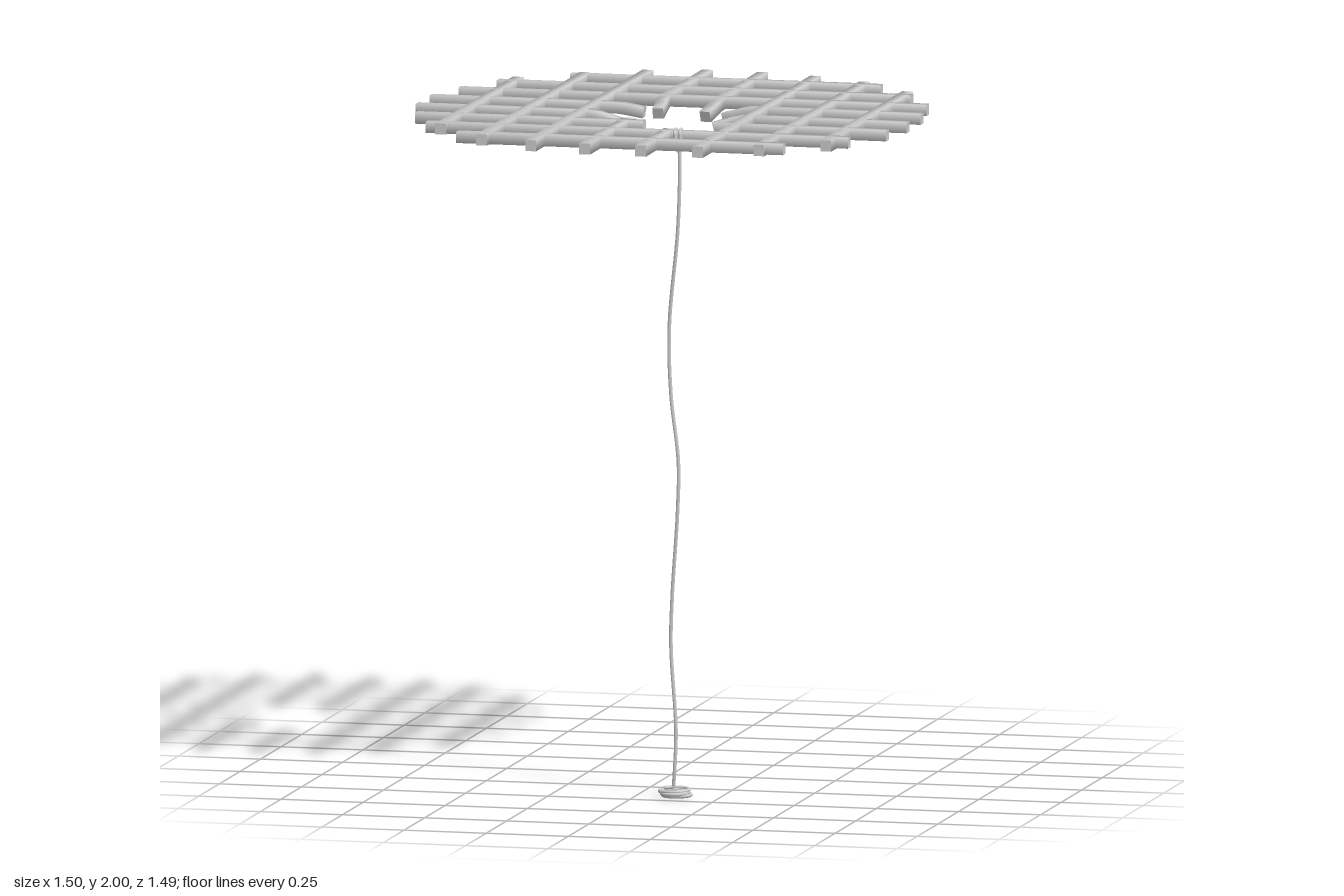
import * as THREE from 'three';
import { mergeGeometries } from 'three/addons/utils/BufferGeometryUtils.js';

const BAR = 0.0165;   // half width of the square bars
const BAR_Y = 1.976;  // height of the grating's centre plane
const ROPE = 0.0055;
const grey = new THREE.MeshStandardMaterial({ color: 0xcccccc });
const V = (x, y, z) => new THREE.Vector3(x, y, z);

// Square bar lofted along a list of points, smooth sides and flat caps
function barGeometry(points) {
  const up = V(0, 1, 0), rings = [];
  points.forEach((p, i) => {
    const t = points[Math.min(i + 1, points.length - 1)].clone()
      .sub(points[Math.max(i - 1, 0)]).normalize();
    const side = t.clone().cross(up).normalize();
    const top = side.clone().cross(t);
    rings.push([[1, 1], [-1, 1], [-1, -1], [1, -1]].map(([a, b]) =>
      p.clone().addScaledVector(side, a * BAR).addScaledVector(top, b * BAR)));
  });
  const build = (verts, index) => {
    const g = new THREE.BufferGeometry().setFromPoints(verts);
    g.setIndex(index);
    g.computeVertexNormals();
    return g;
  };
  const index = [];
  for (let i = 0; i < rings.length - 1; i++) {
    for (let j = 0; j < 4; j++) {
      const a = i * 4 + j, b = i * 4 + (j + 1) % 4;
      index.push(a, a + 4, b, b, a + 4, b + 4);
    }
  }
  return mergeGeometries([
    build(rings.flat(), index),
    build(rings[0], [0, 1, 2, 0, 2, 3]),
    build(rings[rings.length - 1], [0, 2, 1, 0, 3, 2]),
  ]);
}

// Bar from its outer end to its inner end; the inner tip may bend aside and down
function makeBar(name, alongX, offset, from, to, aside = 0, drop = 0) {
  const point = (s, side, y) => alongX ? V(s, y, offset + side) : V(offset + side, y, s);
  const points = [point(from, 0, BAR_Y)];
  if (aside || drop) {
    const dir = Math.sign(to - from);
    [[0.085, 0], [0.06, 0.2], [0.035, 0.55], [0, 1]].forEach(([back, k]) =>
      points.push(point(to - dir * back, aside * k, BAR_Y - drop * k)));
  } else points.push(point(to, 0, BAR_Y));
  const mesh = new THREE.Mesh(barGeometry(points), grey);
  mesh.name = name;
  return mesh;
}

function makeRope(name, points, segments) {
  const curve = new THREE.CatmullRomCurve3(points);
  const mesh = new THREE.Mesh(new THREE.TubeGeometry(curve, segments, ROPE, 8), grey);
  mesh.name = name;
  return mesh;
}

export function createModel() {
  const model = new THREE.Group();
  model.name = 'brokenGrating';
  const grating = new THREE.Group();
  grating.name = 'grating';
  model.add(grating);

  // Bars running left to right: z, outer end, inner end, bend aside, drop
  const crossBars = [
    [-0.587, -0.45, 0.495], [-0.413, -0.63, 0.63], [-0.246, -0.705, 0.72],
    [-0.077, -0.75, -0.1, 0, 0.012], [-0.077, 0.745, 0.14, -0.015, 0.022],
    [0.093, -0.75, -0.13, -0.016, 0.026], [0.093, 0.745, 0.157, 0.018, 0.022],
    [0.262, -0.71, -0.015], [0.262, 0.725, 0.2],
    [0.43, -0.635, 0.65], [0.6, -0.5, 0.495],
  ];
  crossBars.forEach(b => grating.add(makeBar('crossBar', true, ...b)));

  // Bars running back to front: x, outer end, inner end, bend aside, drop
  const longBars = [
    [-0.585, -0.48, 0.465], [-0.415, -0.615, 0.645], [-0.247, -0.705, 0.72],
    [-0.077, -0.75, -0.15, 0, 0.026], [-0.077, 0.743, 0.135, 0.014, 0.026],
    [0.093, -0.745, -0.108, -0.016, 0.024], [0.093, 0.743, 0.31, -0.015, 0.026],
    [0.262, -0.71, 0.725], [0.43, -0.635, 0.65], [0.6, -0.48, 0.515],
  ];
  longBars.forEach(b => grating.add(makeBar('longBar', false, ...b)));

  const rope = new THREE.Group();
  rope.name = 'rope';
  model.add(rope);

  // Two turns of rope tied round a bar
  const knot = [];
  for (let i = 0; i <= 24; i++) {
    const a = i / 12 * Math.PI * 2;
    const c = Math.cos(a), s = Math.sin(a);
    const r = 0.021 / Math.max(Math.abs(c), Math.abs(s), 0.78);
    knot.push(V(0.118 + i * 0.0013, BAR_Y + s * r * 0.88, 0.43 - c * r * 1.05));
  }
  rope.add(makeRope('knot', knot, 96));

  // Hanging length with a gentle sway
  const hanging = [
    [0.125, 1.975, 0.408], [0.13, 1.9, 0.413], [0.125, 1.7, 0.415], [0.095, 1.4, 0.4],
    [0.1, 1.2, 0.4], [0.125, 1, 0.41], [0.123, 0.85, 0.412], [0.105, 0.6, 0.404],
    [0.1, 0.45, 0.4], [0.118, 0.2, 0.411], [0.115, 0.08, 0.415], [0.11, 0.028, 0.41],
  ].map(p => V(...p));
  rope.add(makeRope('hangingRope', hanging, 120));

  // Loose coil on the ground, ending in a free tail
  const coil = [V(0.11, 0.028, 0.41)];
  for (let i = 0; i <= 36; i++) {
    const a = 3.6 + i / 12 * Math.PI * 2;
    const r = 0.037 + 0.006 * Math.sin(i * 0.7);
    coil.push(V(0.122 + Math.cos(a) * (r + 0.004), 0.026 - i / 36 * 0.02, 0.436 + Math.sin(a) * r));
  }
  coil.push(V(0.1, 0.0056, 0.4), V(0.118, 0.0056, 0.376), V(0.146, 0.0056, 0.36));
  rope.add(makeRope('groundCoil', coil, 200));

  return model;
}
